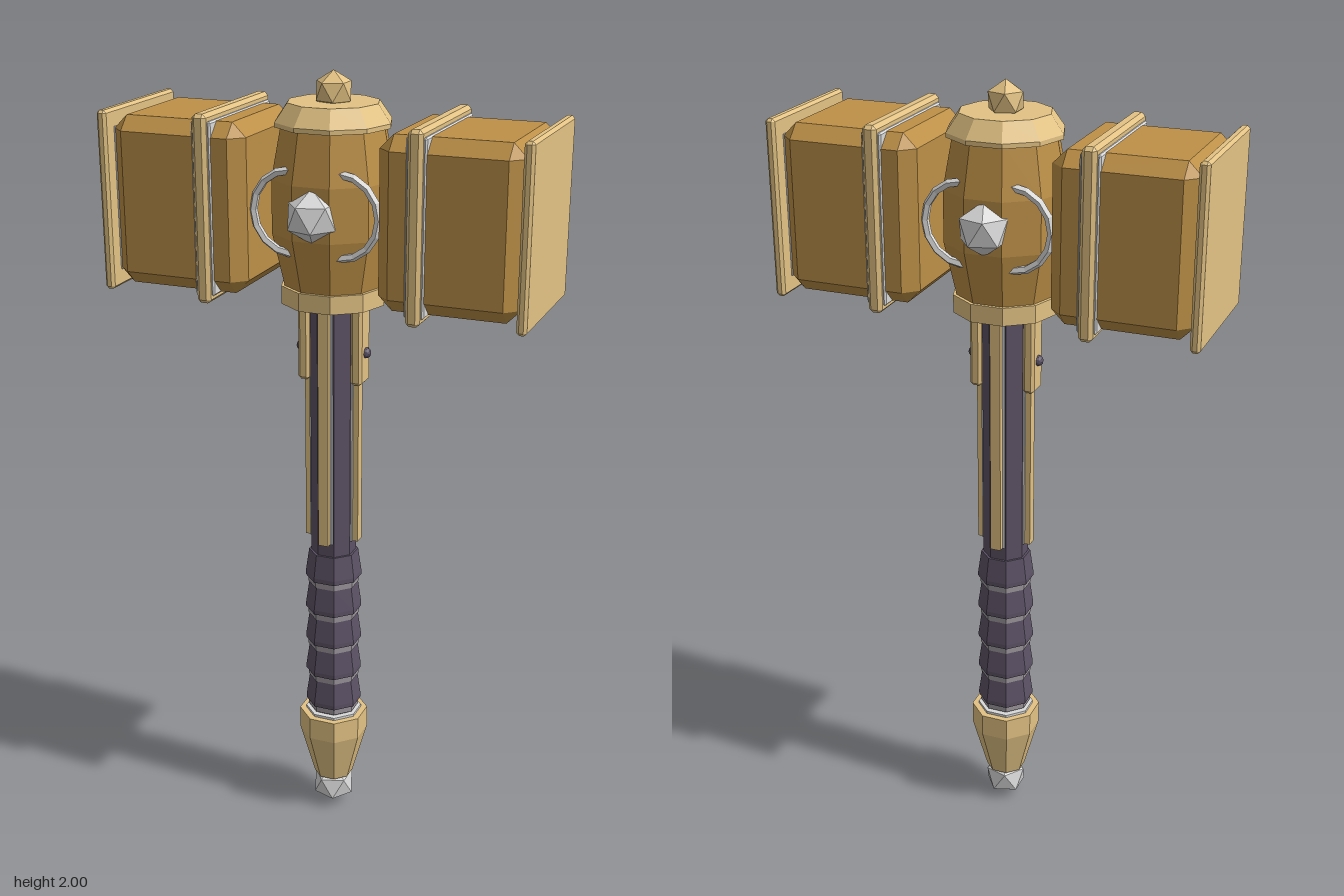
import * as THREE from 'three';
import { ConvexGeometry } from 'three/addons/geometries/ConvexGeometry.js';

const mat = (name, color) => {
  const m = new THREE.MeshStandardMaterial({ color, flatShading: true });
  m.name = name;
  return m;
};

// Box with every edge cut at 45 degrees
function chamferBox(w, h, d, c) {
  const pts = [];
  for (const x of [-1, 1]) for (const y of [-1, 1]) for (const z of [-1, 1]) {
    const [a, b, e] = [w / 2, h / 2, d / 2];
    pts.push(
      new THREE.Vector3(x * a, y * (b - c), z * (e - c)),
      new THREE.Vector3(x * (a - c), y * b, z * (e - c)),
      new THREE.Vector3(x * (a - c), y * (b - c), z * e));
  }
  return new ConvexGeometry(pts);
}

// Faceted turned part from [radius, y] pairs, listed bottom to top
function turned(profile, sides, turn = 0) {
  const g = new THREE.LatheGeometry(profile.map(([r, y]) => new THREE.Vector2(r, y)), sides);
  return g.rotateY(turn);
}

// Icosahedron standing on a corner
const gem = (r) => new THREE.IcosahedronGeometry(r, 0).rotateZ(Math.atan(2 / (1 + Math.sqrt(5))));

export function createModel() {
  const gold = mat('pale gold', 0xe3c384);
  const bronze = mat('bronze', 0xbd9047);
  const silver = mat('silver', 0xdadada);
  const pewter = mat('worn pewter', 0x9c969c);
  const leather = mat('dark leather', 0x5c5265);
  const model = new THREE.Group();
  model.name = 'warHammer';

  const add = (name, geometry, material, x = 0, y = 0, z = 0, parent = model) => {
    const mesh = new THREE.Mesh(geometry, material);
    mesh.name = name;
    mesh.position.set(x, y, z);
    parent.add(mesh);
    return mesh;
  };

  const decagon = Math.PI / 2;
  const octagon = Math.PI / 8;
  const midY = 1.683;

  // Hammer heads, one per side
  for (const s of [-1, 1]) {
    const head = new THREE.Group();
    head.name = s > 0 ? 'leftHead' : 'rightHead';
    model.add(head);
    add('headBlock', chamferBox(0.345, 0.41, 0.338, 0.034), bronze, s * 0.338, midY, 0, head);
    add('headBand', chamferBox(0.036, 0.452, 0.37, 0.009), gold, s * 0.265, midY, 0, head);
    add('bandTrim', chamferBox(0.05, 0.416, 0.344, 0.004), silver, s * 0.265, midY, 0, head);
    add('strikingPlate', chamferBox(0.025, 0.436, 0.36, 0.007), gold, s * 0.523, midY, 0, head);
    add('plateTrim', new THREE.BoxGeometry(0.008, 0.35, 0.278), silver, s * 0.5105, midY, 0, head);
  }

  // Central barrel with its cap and collar
  add('barrel', turned([[0, 1.48], [0.12, 1.48], [0.152, 1.622], [0.152, 1.752], [0.127, 1.882], [0, 1.882]], 10, decagon), bronze);
  add('barrelCap', turned([[0, 1.873], [0.143, 1.873], [0.143, 1.884], [0.112, 1.928], [0, 1.928]], 10, decagon), gold);
  add('barrelCollar', turned([[0, 1.446], [0.131, 1.446], [0.131, 1.491], [0, 1.491]], 10, decagon), gold);
  add('topKnob', gem(0.048), gold, 0, 1.952, 0);

  // Studs and side rings on both faces of the barrel
  for (const z of [-1, 1]) {
    add(z > 0 ? 'frontStud' : 'backStud', gem(0.066), silver, 0, midY, z * 0.136);
    for (const x of [-1, 1]) {
      add('barrelRing', new THREE.TorusGeometry(0.1, 0.01, 5, 16), silver, x * 0.058, midY, z * 0.116);
    }
  }

  // Shaft with four silver-edged strips
  add('shaft', turned([[0, 0.25], [0.058, 0.25], [0.058, 1.47], [0, 1.47]], 8, octagon), leather);
  for (let i = 0; i < 4; i++) {
    const strip = new THREE.BoxGeometry(0.027, 0.64, 0.03).translate(0, 1.13, 0.057);
    const edging = new THREE.BoxGeometry(0.038, 0.64, 0.02).translate(0, 1.13, 0.048);
    add('shaftStrip', strip.rotateY(i * Math.PI / 2), gold);
    add('stripEdging', edging.rotateY(i * Math.PI / 2), silver);
  }

  // Riveted brackets under the collar
  for (const s of [-1, 1]) {
    add('bracket', chamferBox(0.03, 0.23, 0.062, 0.007), gold, s * 0.07, 1.355, 0);
    add('rivet', new THREE.IcosahedronGeometry(0.014, 1), leather, s * 0.085, 1.32, 0);
  }

  // Flared grip wraps with a pewter ring below each
  for (let i = 0; i < 5; i++) {
    const wrap = [[0.055, -0.037], [0.073, -0.037], [0.073, -0.025], [0.064, 0.038], [0.055, 0.038]];
    const ring = [[0.055, -0.055], [0.067, -0.055], [0.067, -0.036], [0.055, -0.036]];
    const y = 0.735 - i * 0.093;
    add('gripWrap', turned(wrap, 8, octagon), leather, 0, y, 0);
    add('gripRing', turned(ring, 8, octagon), pewter, 0, y, 0);
  }

  // Pommel with a silver rim
  add('pommelRim', turned([[0, 0.29], [0.074, 0.29], [0.074, 0.302], [0, 0.302]], 8, octagon), silver);
  add('pommel', turned([[0, 0.095], [0.052, 0.095], [0.091, 0.235], [0.091, 0.295], [0, 0.295]], 8, octagon), gold);
  add('pommelGem', gem(0.059), silver, 0, 0.059, 0);

  return model;
}
